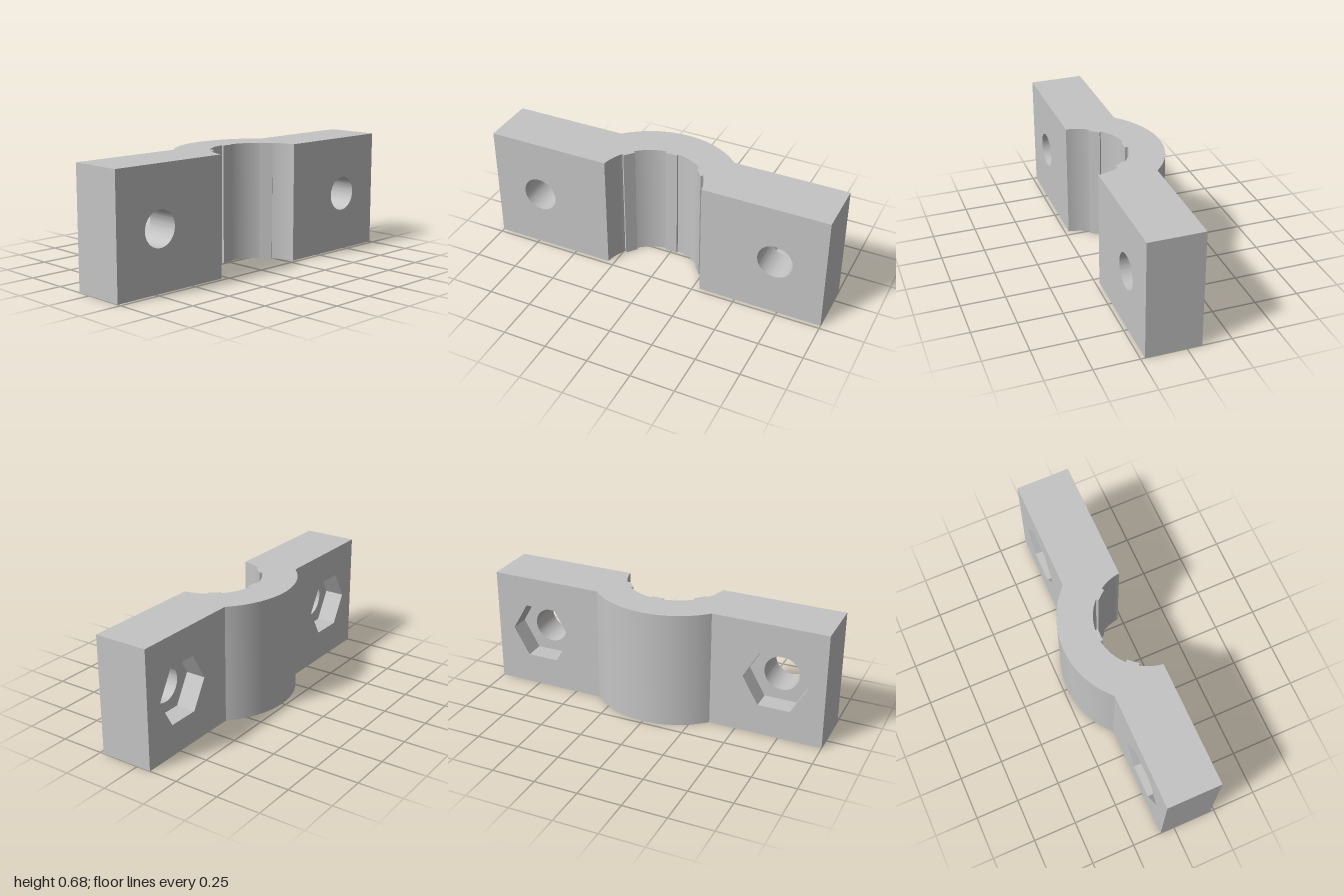
import * as THREE from 'three';
import { toCreasedNormals } from 'three/addons/utils/BufferGeometryUtils.js';

const HEIGHT = 0.675, FRONT = 0.227, EAR_BACK = -0.083;
const AXIS = 0.261;            // z of the bore and dome axis
const BORE = 0.29, DOME = 0.488;
const POCKET = 0.115;          // depth of the nut pocket
const EAR_IN = Math.sqrt(DOME ** 2 - (AXIS - EAR_BACK) ** 2);

const extrude = (shape, depth) => toCreasedNormals(
  new THREE.ExtrudeGeometry(shape, { depth, bevelEnabled: false, curveSegments: 40 }), 0.5);

// Cross-section seen from above (shape y is -z): dome outside, ribbed bore inside
function saddleGeometry() {
  const pts = [];
  const polar = (r, a) => pts.push(new THREE.Vector2(r * Math.sin(a), r * Math.cos(a) - AXIS));
  const arc = (r, a, b, n) => { for (let i = 0; i <= n; i++) polar(r, a + (b - a) * i / n); };

  const domeEnd = Math.asin(EAR_IN / DOME);
  pts.push(new THREE.Vector2(-EAR_IN, -FRONT));
  arc(DOME, -domeEnd, domeEnd, 48);
  pts.push(new THREE.Vector2(EAR_IN, -FRONT));

  // Bore from right to left, interrupted by three square ribs
  const boreEnd = Math.acos((AXIS - FRONT) / BORE);
  const ribHalf = 0.035, ribFace = 0.273;
  const half = Math.asin(ribHalf / BORE);
  const ribR = Math.hypot(ribFace, ribHalf), ribA = Math.atan2(ribHalf, ribFace);
  let from = boreEnd;
  for (const deg of [50, 0, -50]) {
    const a = THREE.MathUtils.degToRad(deg);
    arc(BORE, from, a + half, 14);
    polar(ribR, a + ribA);
    polar(ribR, a - ribA);
    from = a - half;
  }
  arc(BORE, from, -boreEnd, 14);
  return extrude(new THREE.Shape(pts), HEIGHT).rotateX(-Math.PI / 2);
}

// Rectangular ear plate with one hole cut through it
function earPlate(side, hole, z0, z1) {
  const a = side > 0 ? EAR_IN : -1, b = side > 0 ? 1 : -EAR_IN;
  const shape = new THREE.Shape([
    new THREE.Vector2(a, 0), new THREE.Vector2(b, 0),
    new THREE.Vector2(b, HEIGHT), new THREE.Vector2(a, HEIGHT)]);
  shape.holes.push(hole);
  return extrude(shape, z1 - z0).translate(0, 0, z0);
}

export function createModel() {
  const grey = new THREE.MeshStandardMaterial({ color: 0xc4c4c4 });
  grey.name = 'plain grey';
  const model = new THREE.Group();
  model.name = 'pipeClamp';
  const add = (name, geometry, parent) => {
    const mesh = new THREE.Mesh(geometry, grey);
    mesh.name = name;
    parent.add(mesh);
  };

  add('clampSaddle', saddleGeometry(), model);

  for (const side of [1, -1]) {
    const ear = new THREE.Group();
    ear.name = side > 0 ? 'leftEar' : 'rightEar';
    const cx = side * 0.718, cy = HEIGHT / 2 + 0.002;

    // Round bolt hole in front, hexagonal nut pocket behind
    const bolt = new THREE.Path().absarc(cx, cy, 0.1, 0, Math.PI * 2, true);
    const hex = new THREE.Path(Array.from({ length: 6 }, (_, i) => {
      const t = -i * Math.PI / 3;
      return new THREE.Vector2(cx + 0.185 * Math.cos(t), cy + 0.185 * Math.sin(t));
    }));
    add('boltPlate', earPlate(side, bolt, EAR_BACK + POCKET, FRONT), ear);
    add('nutPocketPlate', earPlate(side, hex, EAR_BACK, EAR_BACK + POCKET), ear);
    model.add(ear);
  }
  return model;
}
